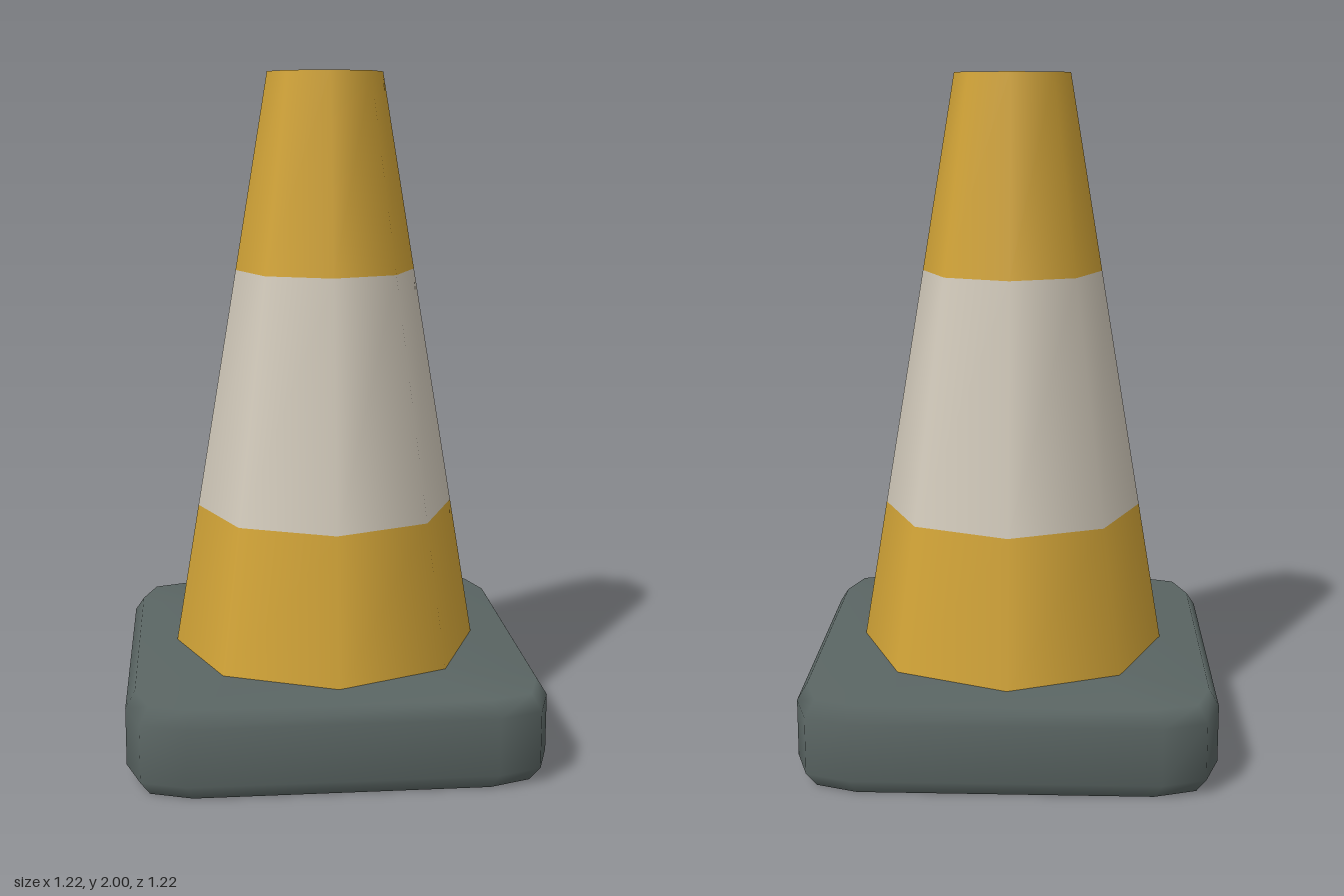
import * as THREE from 'three';

const flat = (name, color) => {
  const m = new THREE.MeshStandardMaterial({ color });
  m.name = name;
  return m;
};

// Stacks scaled copies of an outline into smooth walls with a closed top
function buildSlab(outline, rings) {
  const n = outline.length, pos = [], index = [];
  for (const [scale, y] of rings) {
    for (const [x, z] of outline) pos.push(x * scale, y, z * scale);
  }
  for (let r = 0; r < rings.length - 1; r++) {
    for (let i = 0; i < n; i++) {
      const a = r * n + i, b = r * n + (i + 1) % n;
      index.push(a, a + n, b, b, a + n, b + n);
    }
  }
  const top = (rings.length - 1) * n, centre = pos.length / 3;
  pos.push(0, rings[rings.length - 1][1], 0);
  for (let i = 0; i < n; i++) index.push(top + i, centre, top + (i + 1) % n);
  const g = new THREE.BufferGeometry();
  g.setAttribute('position', new THREE.Float32BufferAttribute(pos, 3));
  g.setIndex(index);
  g.computeVertexNormals();
  return g;
}

export function createModel() {
  const model = new THREE.Group();
  model.name = 'trafficCone';
  const orange = flat('orange', 0xd2a437);
  const white = flat('offWhite', 0xd2cabb);
  const grey = flat('darkGrey', 0x5a6563);

  const add = (name, geometry, material) => {
    const mesh = new THREE.Mesh(geometry, material);
    mesh.name = name;
    model.add(mesh);
    return mesh;
  };

  // Square base with faceted corners: three points per corner, turned four times
  const outline = [];
  for (let q = 0; q < 4; q++) {
    const c = Math.round(Math.cos(q * Math.PI / 2)), s = Math.round(Math.sin(q * Math.PI / 2));
    for (const [x, z] of [[0.61, 0.44], [0.567, 0.567], [0.44, 0.61]]) {
      outline.push([x * c - z * s, x * s + z * c]);
    }
  }
  add('base', buildSlab(outline, [[0.955, 0], [1, 0.045], [1, 0.215], [0.955, 0.26]]), grey);

  // Flat underside
  const underside = new THREE.Shape(outline.map(([x, z]) => new THREE.Vector2(x * 0.955, z * 0.955)));
  add('baseUnderside', new THREE.ShapeGeometry(underside), grey).rotation.x = Math.PI / 2;

  // Eight-sided cone in three coloured bands on one straight taper
  const y0 = 0.26, y1 = 2, r0 = 0.465, r1 = 0.172;
  const radius = (y) => r0 + (r1 - r0) * (y - y0) / (y1 - y0);
  const bands = [
    ['lowerCone', y0, 0.693, orange],
    ['reflectiveBand', 0.693, 1.417, white],
    ['upperCone', 1.417, y1, orange],
  ];
  for (const [name, lo, hi, material] of bands) {
    const g = new THREE.CylinderGeometry(radius(hi), radius(lo), hi - lo, 8, 1, true);
    add(name, g, material).position.y = (lo + hi) / 2;
  }

  // Shallow dished tip
  const dish = [[r1, y1], [0.122, 1.96], [0, 1.96]].map(([r, y]) => new THREE.Vector2(r, y));
  add('tipRecess', new THREE.LatheGeometry(dish, 8), orange);

  return model;
}
